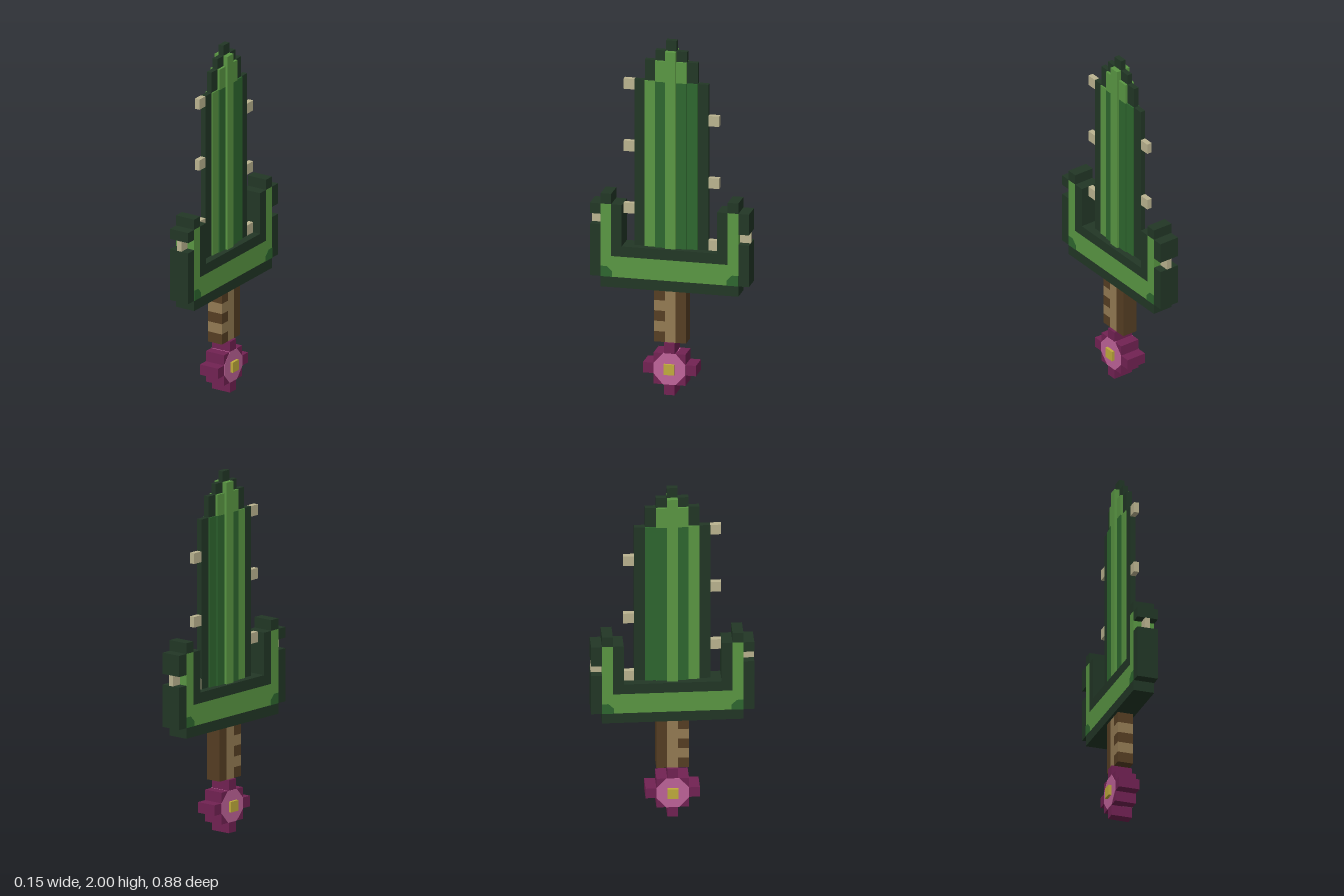
import * as THREE from 'three';

const U = 2 / 34; // one block

const mat = (name, color) => {
  const m = new THREE.MeshStandardMaterial({ color });
  m.name = name;
  return m;
};

export function createModel() {
  const dark = mat('dark green', 0x223726);
  const bright = mat('bright green', 0x5a9743);
  const mid = mat('middle green', 0x2e672f);
  const tan = mat('tan', 0x947b53);
  const brown = mat('brown', 0x563e23);
  const maroon = mat('maroon', 0x722253);
  const pink = mat('pink', 0xbf6399);
  const yellow = mat('yellow', 0xc0ab3c);
  const bone = mat('bone', 0xbbb490);

  const model = new THREE.Group();
  model.name = 'plantSword';
  const section = (name) => {
    const g = new THREE.Group();
    g.name = name;
    model.add(g);
    return g;
  };

  // Box spanning z0..z1 and y0..y1 in blocks, half thickness h in blocks
  const box = (parent, name, m, z0, z1, y0, y1, h) => {
    const mesh = new THREE.Mesh(new THREE.BoxGeometry(2 * h * U, (y1 - y0) * U, (z1 - z0) * U), m);
    mesh.position.set(0, ((y0 + y1) / 2) * U, ((z0 + z1) / 2) * U);
    mesh.name = name;
    parent.add(mesh);
  };
  // Same box on both sides of the middle
  const pair = (parent, name, m, z0, z1, y0, y1, h) => {
    box(parent, name, m, z0, z1, y0, y1, h);
    box(parent, name, m, -z1, -z0, y0, y1, h);
  };
  // Flat polygon of (z, y) points in blocks, standing just proud of both faces
  const inlay = (parent, name, m, points, h) => {
    const shape = new THREE.Shape(points.map(([z, y]) => new THREE.Vector2(z * U, y * U)));
    const depth = 2 * h * U;
    const geo = new THREE.ExtrudeGeometry(shape, { depth, bevelEnabled: false });
    geo.translate(0, 0, -depth / 2).rotateY(-Math.PI / 2);
    const mesh = new THREE.Mesh(geo, m);
    mesh.name = name;
    parent.add(mesh);
  };

  // Flower pommel
  const flower = section('flower');
  [0.5, 1.5, 2.5, 1.5, 0.5].forEach((w, i) => box(flower, 'petalRow', maroon, -w, w, i, i + 1, 1));
  inlay(flower, 'innerPetals', pink, [
    [-1.5, 2], [-0.6, 1], [0.6, 1], [1.5, 2], [1.5, 3], [0.6, 4], [-0.6, 4], [-1.5, 3],
  ], 1.03);
  box(flower, 'flowerCentre', yellow, -0.5, 0.5, 2, 3, 1.3);

  // Grip with banded front edge and dark back
  const grip = section('grip');
  box(grip, 'gripCore', tan, -0.5, 0.5, 5, 10, 0.75);
  box(grip, 'gripBack', brown, -1.5, -0.5, 5, 10, 0.75);
  for (let i = 0; i < 5; i++) {
    box(grip, 'gripBand', i % 2 ? tan : brown, 0.5, 1.5, 5 + i, 6 + i, 0.75);
  }

  // Guard with upturned arms
  const guard = section('guard');
  box(guard, 'guardBase', dark, -6.5, 6.5, 10, 11, 1);
  box(guard, 'guardBody', bright, -6.5, 6.5, 11, 13, 1);
  box(guard, 'guardTopRim', dark, -5.5, 5.5, 13, 14, 1);
  pair(guard, 'armCore', bright, 5.5, 6.5, 13, 18, 1);
  pair(guard, 'armInnerRim', dark, 4.5, 5.5, 14, 18, 1);
  pair(guard, 'armTip', dark, 5.5, 6.5, 18, 19, 1);
  for (const [s, y] of [[1, 16], [-1, 15]]) {
    // Outer rim is broken by a thorn
    const [a, b] = s > 0 ? [6.5, 7.5] : [-7.5, -6.5];
    box(guard, 'armOuterRim', dark, a, b, 11, y, 1);
    box(guard, 'armOuterRim', dark, a, b, y + 1, 18, 1);
    box(guard, 'armThorn', bone, a, b, y, y + 1, 0.25);
    const spot = [[6.5, 11], [6.5, 12], [5.9, 12], [5.4, 11.5], [5.4, 11]];
    inlay(guard, 'cornerSpot', mid, s > 0 ? spot : spot.map(([z, v]) => [-z, v]), 1.03);
  }

  // Stepped blade: thin dark edge, ribs thicker toward the middle
  const blade = section('blade');
  pair(blade, 'bladeEdge', dark, 2.5, 3.5, 14, 30, 0.25);
  pair(blade, 'bladeShoulder', dark, 1.5, 2.5, 30, 32, 0.25);
  pair(blade, 'bladeUpperStep', dark, 0.5, 1.5, 32, 33, 0.25);
  box(blade, 'bladeTip', dark, -0.5, 0.5, 33, 34, 0.25);
  box(blade, 'outerRib', bright, 1.5, 2.5, 14, 30, 0.37);
  box(blade, 'outerRib', mid, -2.5, -1.5, 14, 30, 0.37);
  pair(blade, 'innerRib', mid, 0.5, 1.5, 14, 30, 0.49);
  pair(blade, 'innerRibTop', bright, 0.5, 1.5, 30, 32, 0.49);
  box(blade, 'centreRib', bright, -0.5, 0.5, 14, 33, 0.72);

  // Thorns along both blade edges
  for (const y of [17, 23, 29]) {
    box(blade, 'thorn', bone, 3.5, 4.5, y, y + 1, 0.25);
    box(blade, 'thorn', bone, -4.5, -3.5, y - 3, y - 2, 0.25);
  }

  return model;
}
